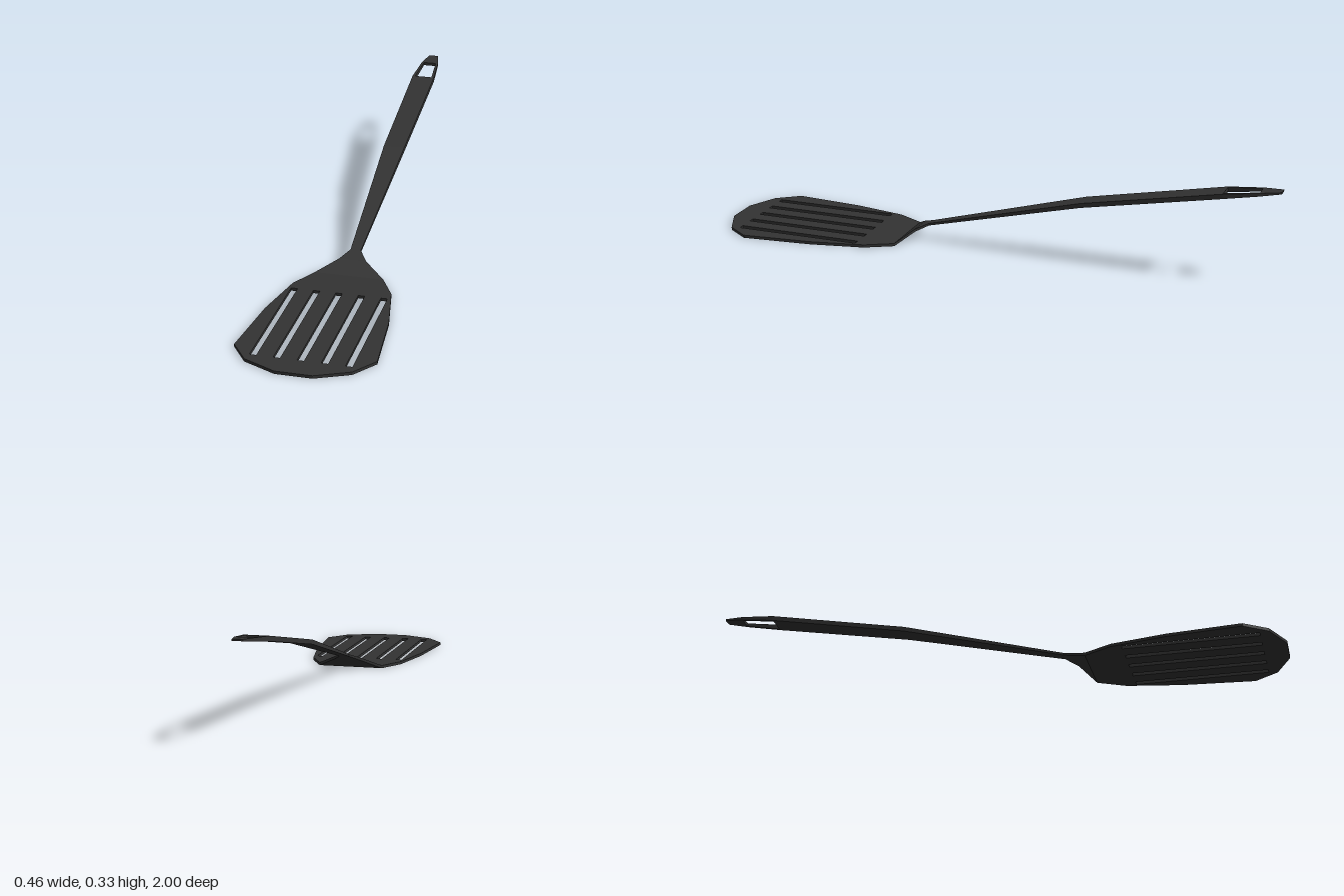
import * as THREE from 'three';

// Box-section loft running towards -z; each section is [z, xMin, xMax, yBottom, yTop]
function loft(sections) {
  const pos = [];
  const rings = sections.map(([z, x0, x1, yb, yt]) => [[x0, yt, z], [x1, yt, z], [x1, yb, z], [x0, yb, z]]);
  const quad = (a, b, c, d) => pos.push(...a, ...b, ...c, ...a, ...c, ...d);
  for (let k = 0; k < rings.length - 1; k++) {
    const a = rings[k], b = rings[k + 1];
    for (let i = 0; i < 4; i++) {
      const j = (i + 1) % 4;
      quad(a[i], a[j], b[j], b[i]);
    }
  }
  const s = rings[0], e = rings[rings.length - 1];
  quad(s[3], s[2], s[1], s[0]);
  quad(e[0], e[1], e[2], e[3]);
  const g = new THREE.BufferGeometry();
  g.setAttribute('position', new THREE.Float32BufferAttribute(pos, 3));
  g.computeVertexNormals();
  return g;
}

// Symmetric section
const sec = (z, hw, yb, yt) => [z, -hw, hw, yb, yt];

export function createModel() {
  const group = new THREE.Group();
  const nylon = new THREE.MeshStandardMaterial({ color: 0x333333, flatShading: true });
  nylon.name = 'blackNylon';
  const add = (name, geometry) => {
    const mesh = new THREE.Mesh(geometry, nylon);
    mesh.name = name;
    group.add(mesh);
  };

  // Slotted blade: half outline mirrored in x
  const half = [[0.118, 0.335], [0.168, 0.43], [0.205, 0.62], [0.228, 0.87], [0.17, 0.95], [0.06, 1]];
  const outline = [...half, ...half.map(([x, z]) => [-x, z]).reverse()];
  const blade = new THREE.Shape(outline.map(([x, z]) => new THREE.Vector2(x, z)));
  for (let i = -2; i <= 2; i++) {
    const x = i * 0.076, w = 0.011;
    blade.holes.push(new THREE.Path([
      new THREE.Vector2(x - w, 0.465), new THREE.Vector2(x - w, 0.92),
      new THREE.Vector2(x + w, 0.92), new THREE.Vector2(x + w, 0.465),
    ]));
  }
  const bladeGeo = new THREE.ExtrudeGeometry(blade, { depth: 0.01, bevelEnabled: false });
  bladeGeo.rotateX(Math.PI / 2).translate(0, 0.01, 0);
  add('blade', bladeGeo);

  // Neck rising from the blade to the handle
  add('neck', loft([
    sec(0.335, 0.118, 0, 0.01),
    sec(0.285, 0.046, 0.036, 0.046),
    sec(0.243, 0.018, 0.055, 0.063),
  ]));

  // Gently bent handle, widening to the hanging hole
  add('handle', loft([
    sec(0.243, 0.018, 0.055, 0.063),
    sec(-0.32, 0.038, 0.197, 0.213),
    sec(-0.81, 0.042, 0.29, 0.307),
  ]));

  // Rails on both sides of the hanging hole
  for (const side of [-1, 1]) {
    const rail = (z, inner, outer, yb, yt) =>
      [z, Math.min(side * inner, side * outer), Math.max(side * inner, side * outer), yb, yt];
    add(side > 0 ? 'leftHoleRail' : 'rightHoleRail', loft([
      rail(-0.81, 0.032, 0.042, 0.29, 0.307),
      rail(-0.93, 0.023, 0.032, 0.31, 0.321),
    ]));
  }

  // Tapered tip behind the hole
  add('handleTip', loft([
    sec(-0.93, 0.032, 0.31, 0.321),
    sec(-1, 0.017, 0.321, 0.327),
  ]));

  return group;
}
